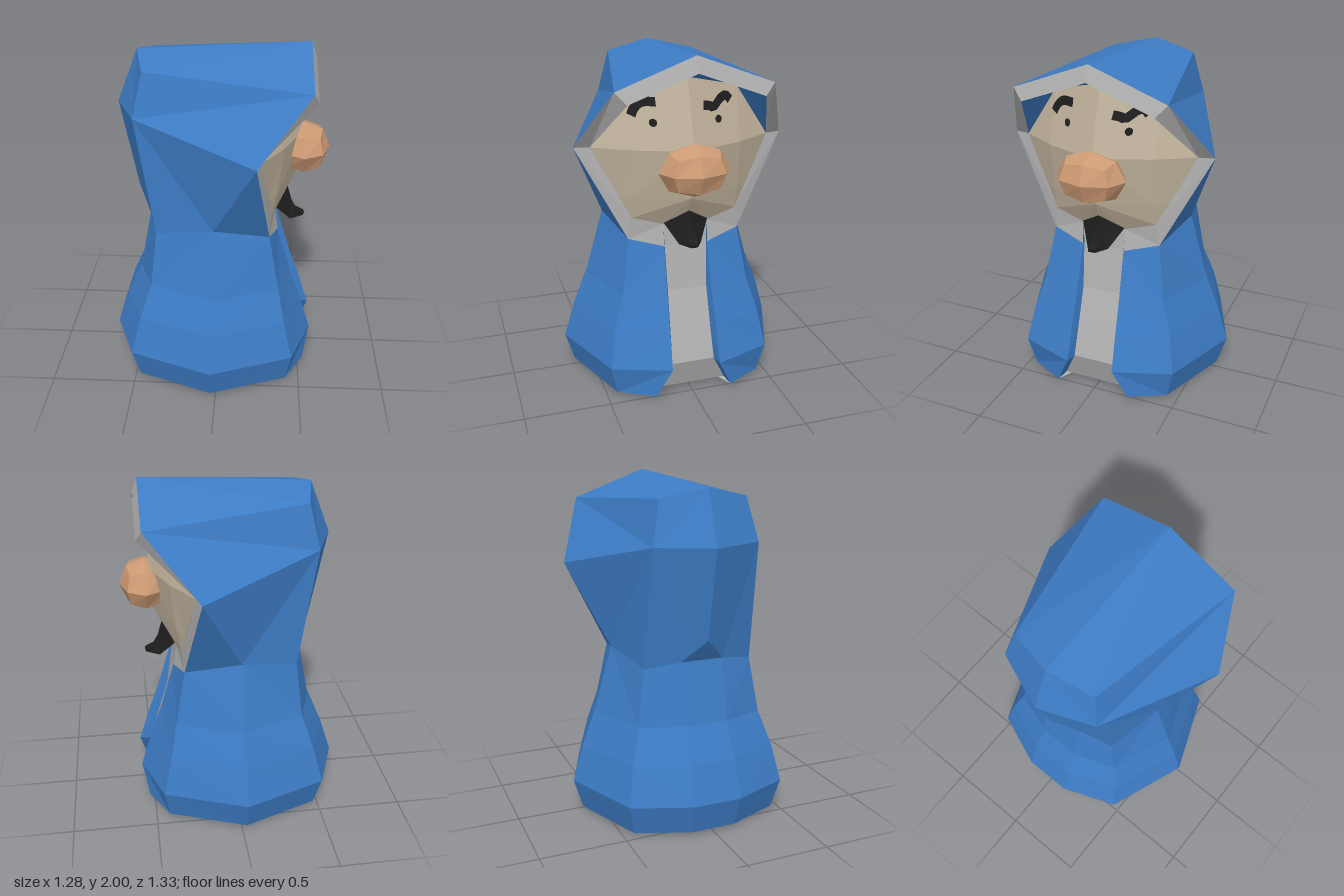
import * as THREE from 'three';

const mat = (name, color) => {
  const m = new THREE.MeshStandardMaterial({ color, side: THREE.DoubleSide, flatShading: true });
  m.name = name;
  return m;
};
const V = (p) => new THREE.Vector3(...p);

// Faceted surface: fans each polygon, mirrors it across z, turns it away from ref
// (or towards it when inward is set).
function facets(name, material, polys, ref = [0, 0.9, 0], inward = false) {
  const pos = [];
  const r = V(ref);
  for (const poly of polys) {
    for (const side of [1, -1]) {
      const pts = poly.map(([x, y, z]) => new THREE.Vector3(x, y, z * side));
      for (let i = 1; i < pts.length - 1; i++) {
        const [a, b, c] = [pts[0], pts[i], pts[i + 1]];
        const n = b.clone().sub(a).cross(c.clone().sub(a));
        if (n.length() < 1e-7) continue;
        const mid = a.clone().add(b).add(c).divideScalar(3).sub(r);
        const flip = (n.dot(mid) < 0) !== inward;
        for (const p of flip ? [a, c, b] : [a, b, c]) pos.push(p.x, p.y, p.z);
      }
    }
  }
  const g = new THREE.BufferGeometry();
  g.setAttribute('position', new THREE.Float32BufferAttribute(pos, 3));
  g.computeVertexNormals();
  const mesh = new THREE.Mesh(g, material);
  mesh.name = name;
  return mesh;
}

// Quads between two matching point rows
const bridge = (a, b) => a.slice(1).map((_, i) => [a[i], a[i + 1], b[i + 1], b[i]]);
const centre = ([x, y]) => [x, y, 0];

export function createModel() {
  const group = new THREE.Group();
  const blue = mat('blue cloth', 0x3d7cc5);
  const trim = mat('grey trim', 0xb0b0b0);
  const skin = mat('tan face', 0xbdaf99);
  const noseMat = mat('nose skin', 0xcd9a74);
  const black = mat('black hair', 0x1d1d1d);

  // Robe half rings, from the back round to the front opening
  const ring = (y, pts) => pts.map(([x, z]) => [x, y, z]);
  const hem = ring(0.02, [[-0.59, 0.13], [-0.47, 0.44], [-0.03, 0.61], [0.42, 0.44], [0.53, 0.23]]);
  const waist = [[-0.41, 0.98, 0.13], [-0.355, 0.947, 0.33], [-0.02, 1.01, 0.41], [0.3, 0.94, 0.33], [0.35, 0.89, 0.13]];
  const rings = [
    hem,
    ring(0.2, [[-0.64, 0.145], [-0.51, 0.48], [-0.03, 0.665], [0.45, 0.48], [0.57, 0.145]]),
    ring(0.42, [[-0.57, 0.135], [-0.455, 0.44], [-0.025, 0.6], [0.4, 0.44], [0.5, 0.14]]),
    ring(0.62, [[-0.48, 0.125], [-0.39, 0.38], [-0.02, 0.52], [0.36, 0.38], [0.43, 0.135]]),
    waist,
  ].map((r) => [centre(r[0]), ...r]);
  const robe = [];
  for (let i = 0; i < rings.length - 1; i++) robe.push(...bridge(rings[i], rings[i + 1]));
  group.add(facets('robe', blue, robe, [0, 0.5, 0]));

  // Grey front panel set back between the robe edges
  const panel = [[0.44, 0.02, 0.22], [0.5, 0.2, 0.13], [0.44, 0.42, 0.122], [0.38, 0.62, 0.118], [0.34, 0.89, 0.125], [0.33, 1.02, 0.13]];
  group.add(facets('frontPanel', trim, bridge(panel, panel.map(centre)), [0, 0.5, 0]));
  const robeEdge = rings.map((r) => r[r.length - 1]);
  group.add(facets('robeEdges', blue, bridge(robeEdge, panel.slice(0, 5)), [0.48, 0.5, 0], true));

  // Shallow grey underside
  const sole = [centre(hem[0]), ...hem, panel[0], centre(panel[0])];
  const shrink = (s, y) => sole.map(([x, , z]) => [-0.03 + (x + 0.03) * s, y, z * s]);
  const soles = [sole, shrink(0.8, 0.012), shrink(0.62, 0), shrink(0, 0)];
  const base = [];
  for (let i = 0; i < 3; i++) base.push(...bridge(soles[i], soles[i + 1]));
  group.add(facets('base', trim, base, [0, 0.5, 0]));

  // Hood corners
  const rimTop = [0.51, 2, 0], rimUp = [0.51, 1.835, 0.44], rimSide = [0.22, 1.48, 0.61];
  const backTop = [-0.47, 1.945, 0], backUp = [-0.41, 1.89, 0.26];
  const backMid = [-0.59, 1.635, 0], backSide = [-0.465, 1.64, 0.315], nape = [-0.49, 1.11, 0];
  group.add(facets('hood', blue, [
    [rimTop, rimUp, backUp, backTop],
    [rimUp, rimSide, backSide, backUp],
    [backTop, backUp, backSide, backMid],
    [backSide, rimSide, waist[2], waist[1]],
    [rimSide, waist[3], waist[2]],
    [backSide, waist[1], waist[0], nape, backMid],
    [nape, waist[0], centre(waist[0])],
  ], [0, 1.45, 0]));

  // Hood rim
  const outer = [rimTop, rimUp, rimSide, waist[3], waist[4]];
  const inner = [[0.54, 1.91, 0], [0.54, 1.77, 0.38], [0.24, 1.48, 0.52], [0.31, 1.07, 0.31], [0.33, 1.02, 0.13]];
  group.add(facets('hoodRim', trim, bridge(outer, inner), [-0.6, 1.4, 0]));

  // Face: the brow area is one flat plane per side
  const browX = (y, z) => 0.49 - 0.355 * (y - 1.48) - 0.4 * Math.abs(z);
  const onBrow = (y, z) => [browX(y, z), y, z];
  const crown = onBrow(1.86, 0), temple = onBrow(1.78, 0.32);
  const bridgeMid = onBrow(1.48, 0), cheek = onBrow(1.48, 0.31), ear = inner[2];
  const lipMid = [0.445, 1.2, 0], lip = [0.335, 1.2, 0.31], jaw = [0.289, 1.2, 0.377];
  const chin = [0.35, 1.02, 0];
  group.add(facets('face', skin, [
    [crown, temple, cheek, bridgeMid],
    [temple, ear, cheek],
    [bridgeMid, cheek, lip, lipMid],
    [cheek, ear, jaw, lip],
    [lipMid, lip, inner[3], inner[4], chin],
    [lip, jaw, inner[3]],
  ], [-0.4, 1.4, 0]));

  // Shaded lining between rim and face
  group.add(facets('hoodLining', blue, [
    [inner[0], inner[1], temple, crown],
    [inner[1], ear, temple],
  ], [0.4, 1.5, 0], true));

  // Nose: a rounded cube
  const noseGeo = new THREE.BoxGeometry(1, 1, 1, 2, 2, 2);
  const np = noseGeo.attributes.position;
  for (let i = 0; i < np.count; i++) {
    const p = new THREE.Vector3().fromBufferAttribute(np, i).normalize();
    np.setXYZ(i, p.x * 0.15, p.y * 0.15, p.z * 0.205);
  }
  noseGeo.computeVertexNormals();
  const nose = new THREE.Mesh(noseGeo, noseMat);
  nose.name = 'nose';
  nose.position.set(0.49, 1.377, 0);
  group.add(nose);

  // Goatee: a wedge running into a curled tip
  const root = [0.405, 1.115, 0], cheekEnd = [0.34, 1.03, 0.13], under = [0.425, 0.925, 0.065];
  const front = [0.43, 1.03, 0], bend = [0.455, 0.965, 0.035], tip = [0.51, 0.945, 0.02], tipLow = [0.505, 0.928, 0.02];
  group.add(facets('goatee', black, [
    [root, cheekEnd, front],
    [front, cheekEnd, under, bend],
    [front, bend, centre(bend)],
    [bend, under, tipLow, tip],
    [bend, tip, centre(tip), centre(bend)],
    [tip, tipLow, centre(tipLow), centre(tip)],
    [under, tipLow, centre(tipLow), centre(under)],
    [cheekEnd, under, centre(under), centre(cheekEnd)],
  ], [0.4, 0.98, 0]));

  // Painted details lie just in front of the brow planes
  const paint = (name, shape) => {
    const g = new THREE.ShapeGeometry(shape, 6).scale(-1, 1, 1);
    const p = g.attributes.position;
    for (let i = 0; i < p.count; i++) {
      const z = -p.getX(i), y = p.getY(i);
      p.setXYZ(i, browX(y, z) + 0.008, y, z);
    }
    // facing the front
    const idx = g.index.array;
    for (let i = 0; i < idx.length; i += 3) [idx[i + 1], idx[i + 2]] = [idx[i + 2], idx[i + 1]];
    g.computeVertexNormals();
    const m = new THREE.Mesh(g, black);
    m.name = name;
    group.add(m);
  };
  const stroke = (pts, w) => {
    const c = new THREE.SplineCurve(pts.map(([z, y]) => new THREE.Vector2(z, y)));
    const a = [], b = [];
    for (let i = 0; i <= 12; i++) {
      const p = c.getPoint(i / 12), t = c.getTangent(i / 12);
      const n = new THREE.Vector2(-t.y, t.x).multiplyScalar(w);
      a.push(p.clone().add(n));
      b.unshift(p.clone().sub(n));
    }
    return new THREE.Shape([...a, ...b]);
  };
  const dot = (z, y) => new THREE.Shape().absarc(z, y, 0.021, 0, Math.PI * 2);
  paint('eyeLeft', dot(0.197, 1.625));
  paint('eyeRight', dot(-0.173, 1.623));
  paint('browLeft', stroke([[0.305, 1.66], [0.285, 1.7], [0.245, 1.73], [0.175, 1.732]], 0.024));
  paint('browRight', stroke([[-0.082, 1.705], [-0.115, 1.7], [-0.15, 1.69], [-0.195, 1.725], [-0.235, 1.738], [-0.262, 1.71]], 0.024));

  return group;
}
